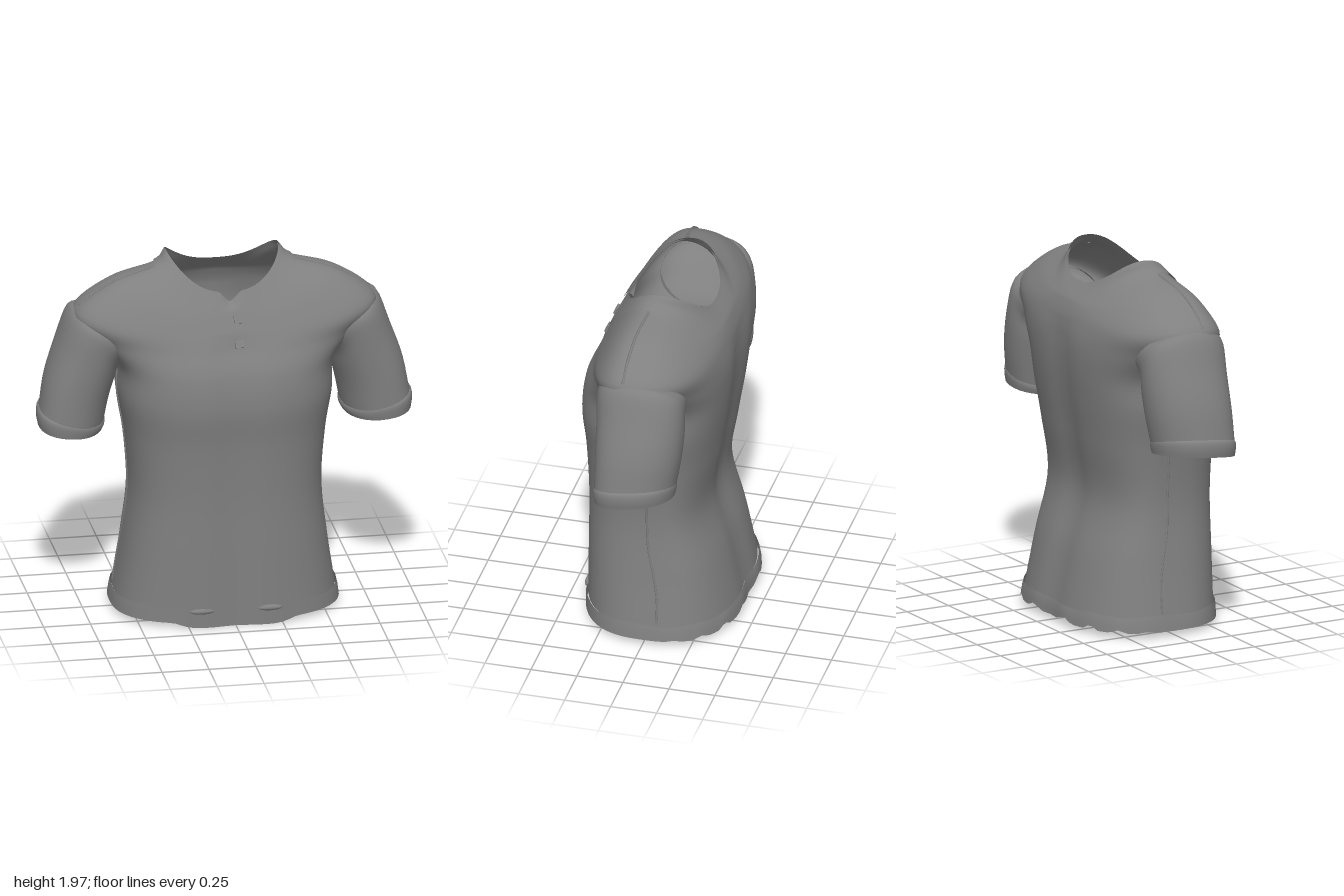
import * as THREE from 'three';

const TAU = Math.PI * 2;
const fabric = new THREE.MeshStandardMaterial({ color: 0x808080, side: THREE.DoubleSide });
fabric.name = 'greyFabric';

// Smooth interpolation through a short list of cross-sections
function loft(rows) {
  const w = rows[0].length;
  const c = new THREE.CubicInterpolant(rows.map((_, i) => i), rows.flat(), w, new Array(w).fill(0));
  return t => c.evaluate(Math.min(Math.max(t, 0), rows.length - 1));
}

// Torso sections: side x,y,z | front y,z | back y,z | squareness
const lower = [
  [0.03, 0.595, 0.405, -0.425, 2.6], [0.13, 0.58, 0.405, -0.41, 2.6], [0.4, 0.54, 0.405, -0.35, 2.7],
  [0.7, 0.51, 0.405, -0.27, 2.75], [1.0, 0.53, 0.418, -0.31, 2.75], [1.22, 0.565, 0.438, -0.345, 2.75],
  [1.4, 0.575, 0.415, -0.367, 2.85],
].map(([y, x, f, b, n]) => [x, y, 0, y, f, y, b, n]);
const upper = [
  [0.70, 1.55, 0.01, 1.53, 0.36, 1.55, -0.372, 2.5],
  [0.805, 1.69, 0.04, 1.62, 0.315, 1.66, -0.35, 2.45],
  [0.61, 1.845, 0.04, 1.68, 0.285, 1.725, -0.328, 2.3],
  [0.365, 1.92, 0.015, 1.73, 0.26, 1.765, -0.305, 2.1],
  [0.295, 1.975, -0.04, 1.815, 0.21, 1.83, -0.24, 2.25],
];
const SHOULDER = 8, YOKE = 9, COLLAR = 10, NECK = 11;
const section = loft([...lower, ...upper]);

// Point on the torso at angle a (0 = left side, PI/2 = front) and height step t
function torso(a, t) {
  const [sx, sy, sz, fy, fz, by, bz, n] = section(t);
  const c = Math.cos(a), s = Math.sin(a);
  const x = sx * Math.sign(c) * Math.abs(c) ** (2 / n);
  const k = Math.abs(c) ** 2.3;
  const m = Math.abs(s) ** (2 / n);
  const dent = 0.02 * Math.exp(-((x / 0.1) ** 2)) * Math.min(1, Math.max(0, 8 - t));
  const z = s >= 0 ? sz + m * (fz - dent - sz) : sz + m * (bz + dent - sz);
  // V-shaped notch at the front of the neckline
  const notch = s > 0 ? 0.055 * Math.max(0, 1 - Math.abs(x) / 0.06) * Math.max(0, t - COLLAR) : 0;
  const y = THREE.MathUtils.lerp(s >= 0 ? fy : by, sy, k) - notch;
  return new THREE.Vector3(x, y, z);
}

// Angle at which the front of the torso reaches a given x
function frontAngle(x, t) {
  const s = section(t);
  return Math.acos(Math.sign(x) * (Math.abs(x) / s[0]) ** (s[7] / 2));
}

// Surface from point(u, v); optionally closed in u and pushed out along its normals
function surface(point, nu, nv, closed, offset = 0) {
  const pos = [], idx = [], cols = closed ? nu : nu + 1;
  for (let j = 0; j <= nv; j++) {
    for (let i = 0; i < cols; i++) pos.push(...point(i / nu, j / nv).toArray());
  }
  for (let j = 0; j < nv; j++) {
    for (let i = 0; i < nu; i++) {
      const a = j * cols + i, b = j * cols + (i + 1) % cols;
      idx.push(a, a + cols, b, b, a + cols, b + cols);
    }
  }
  const g = new THREE.BufferGeometry();
  g.setAttribute('position', new THREE.Float32BufferAttribute(pos, 3));
  g.setIndex(idx);
  g.computeVertexNormals();
  if (offset) {
    const p = g.attributes.position, n = g.attributes.normal;
    for (let i = 0; i < p.count; i++) {
      p.setXYZ(i, p.getX(i) + n.getX(i) * offset, p.getY(i) + n.getY(i) * offset, p.getZ(i) + n.getZ(i) * offset);
    }
    g.computeVertexNormals();
  }
  return g;
}

// Sleeve sections: inner x,y | outer x,y | centre z, half depth | forward skew
const sleeveRows = loft([
  [0.50, 1.44, 0.74, 1.70, -0.008, 0.235, 0],
  [0.56, 1.39, 0.82, 1.69, -0.015, 0.236, 0],
  [0.58, 1.31, 0.887, 1.52, -0.024, 0.232, 0.01],
  [0.61, 1.19, 0.95, 1.33, -0.024, 0.222, 0.025],
  [0.635, 1.065, 0.983, 1.14, -0.015, 0.208, 0.035],
]);
const cuffRows = loft([
  [0.638, 1.085, 0.98, 1.165, -0.015, 0.205, 0.035],
  [0.63, 1.07, 0.992, 1.15, -0.015, 0.212, 0.035],
  [0.63, 1.05, 0.995, 1.11, -0.015, 0.21, 0.035],
  [0.64, 1.03, 0.988, 1.07, -0.015, 0.205, 0.035],
]);
function sleevePoint(rows, side, u, t) {
  const [ix, iy, ox, oy, zc, rz, skew] = rows(t);
  const c = Math.cos(u * TAU), s = Math.sin(u * TAU);
  const k = 0.5 + 0.5 * Math.sign(c) * Math.abs(c) ** 0.9;
  const x = ix + (ox - ix) * k + skew * s;
  const y = iy + (oy - iy) * k - 0.5 * skew * s;
  return new THREE.Vector3(side * x, y, zc + rz * Math.sign(s) * Math.abs(s) ** 0.9);
}

export function createModel() {
  const shirt = new THREE.Group();
  shirt.name = 'shirt';
  const add = (name, geometry) => {
    const mesh = new THREE.Mesh(geometry, fabric);
    mesh.name = name;
    shirt.add(mesh);
    return mesh;
  };

  // Body from hem to neckline
  add('body', surface((u, v) => torso(u * TAU, 0.85 + v * (NECK - 0.85)), 96, 60, true));

  // Hem band with an uneven lower edge
  add('hem', surface((u, v) => {
    const a = u * TAU, p = torso(a, v);
    const front = Math.max(0, Math.sin(a)), back = Math.max(0, -Math.sin(a));
    const low = 0.036 - 0.027 * THREE.MathUtils.smoothstep(front, 0.88, 0.97)
      + 0.025 * back * Math.max(0, Math.sin(a * 17));
    p.y = THREE.MathUtils.lerp(low, 0.118 + 0.005 * Math.sin(a * 8), v);
    return p;
  }, 96, 3, true, 0.011));

  // Collar open at the front, with pointed wings
  add('collar', surface((u, v) => {
    const a = Math.PI / 2 + 0.13 + u * (TAU - 0.26);
    const wing = Math.sin(a) > 0 ? Math.max(0, 1 - (Math.abs(Math.cos(a)) - 0.13) / 0.75) ** 2 : 0;
    const low = COLLAR - (COLLAR - YOKE + 0.15) * wing;
    return torso(a, low + v * (NECK - low));
  }, 96, 8, false, 0.009));

  // Placket and its buttons
  add('placket', surface((u, v) => {
    const t = 7.2 + v * (NECK - 7.25);
    return torso(frontAngle(0.055 - 0.06 * u, t), t);
  }, 4, 16, false, 0.006));
  for (const t of [7.35, 9.1]) {
    const p = torso(frontAngle(0.03, t), t);
    const button = add('button', new THREE.BoxGeometry(0.045, 0.04, 0.016));
    button.position.copy(p).add(new THREE.Vector3(0, 0.004, 0.01));
    button.rotation.x = -0.45;
  }

  for (const side of [1, -1]) {
    const label = side > 0 ? 'left' : 'right';
    const mirror = p => p.setX(p.x * side);

    // Sleeve and cuff
    add(label + 'Sleeve', surface((u, v) => sleevePoint(sleeveRows, side, u, v * 4), 32, 16, true));
    add(label + 'Cuff', surface((u, v) => sleevePoint(cuffRows, side, u, v * 3), 32, 6, true));

    // Raised seams on the shoulder and down the side
    const seam = (name, points, r) =>
      add(label + name, new THREE.TubeGeometry(new THREE.CatmullRomCurve3(points.map(mirror)), 24, r, 5));
    seam('ShoulderSeam', [0, 0.25, 0.5, 0.75, 1].map(k => torso(0.03, SHOULDER + 0.15 + k * 1.8)), 0.008);
    seam('SideSeam', [1, 1.5, 2, 2.5, 3, 4, 5, 5.8].map(t =>
      torso(-0.1 * THREE.MathUtils.clamp(2.6 - t, 0, 1), t)), 0.007);

    // Small fold above the front hem
    const fold = add(label + 'HemFold', new THREE.SphereGeometry(1, 16, 8));
    fold.scale.set(0.068, 0.016, 0.016);
    fold.position.set(side * 0.18, 0.1, torso(frontAngle(0.18, 0.8), 0.8).z + 0.006);
  }
  return shirt;
}
